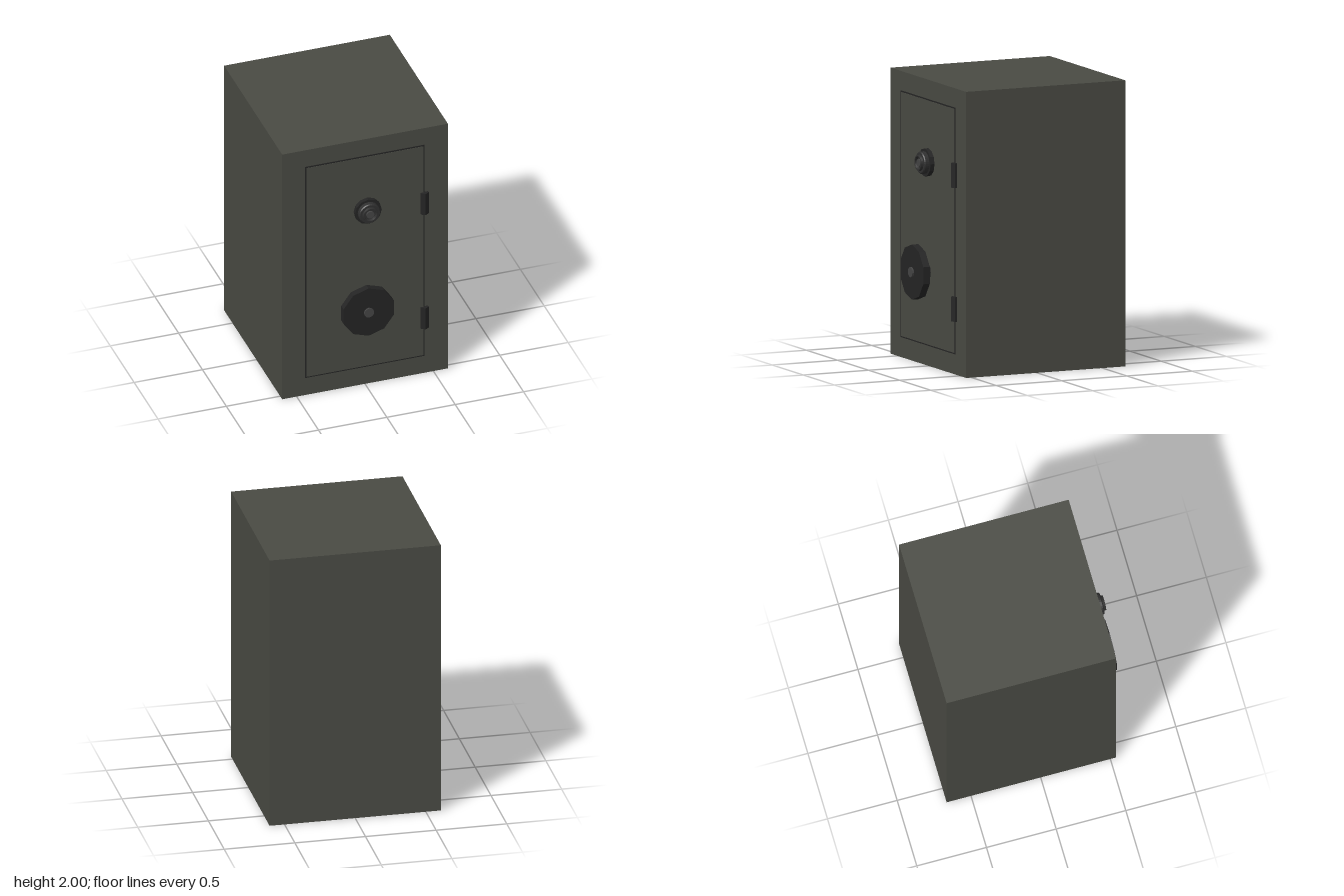
import * as THREE from 'three';

export function createModel() {
  const safe = new THREE.Group();
  safe.name = 'safe';

  const mat = (name, color) => {
    const m = new THREE.MeshStandardMaterial({ color, flatShading: true });
    m.name = name;
    return m;
  };
  const paint = mat('olive grey paint', 0x494a43);
  const black = mat('black metal', 0x242424);
  const grey = mat('grey metal', 0x444444);

  const add = (parent, name, geometry, material, x = 0, y = 0, z = 0) => {
    const mesh = new THREE.Mesh(geometry, material);
    mesh.name = name;
    mesh.position.set(x, y, z);
    parent.add(mesh);
    return mesh;
  };
  // Disc whose axis points forward, from z0 to z1, with a corner at the top
  const disc = (parent, name, r, z0, z1, sides, material) => {
    const g = new THREE.CylinderGeometry(r, r, z1 - z0, sides);
    g.rotateX(Math.PI / 2).rotateZ(Math.PI);
    return add(parent, name, g, material, 0, 0, (z0 + z1) / 2);
  };

  const front = 0.542;

  // Cabinet
  add(safe, 'cabinet', new THREE.BoxGeometry(1.212, 2, front + 0.675), paint, 0, 1, (front - 0.675) / 2);

  // Door panel with a thin dark seam around it
  const seam = new THREE.Shape();
  const rect = (path, w, h) => path.moveTo(-w, -h).lineTo(w, -h).lineTo(w, h).lineTo(-w, h).closePath();
  rect(seam, 0.436, 0.862);
  const opening = new THREE.Path();
  rect(opening, 0.427, 0.853);
  seam.holes.push(opening);
  add(safe, 'doorSeam', new THREE.ExtrudeGeometry(seam, { depth: 0.004, bevelEnabled: false }), black, -0.002, 1.003, front);
  add(safe, 'door', new THREE.BoxGeometry(0.854, 1.706, 0.012), paint, -0.002, 1.003, front);

  // Hinges: six-sided barrels half sunk in the front
  for (const y of [0.459, 1.394]) {
    add(safe, 'hinge', new THREE.CylinderGeometry(0.032, 0.032, 0.172, 6), black, 0.433, y, front);
  }

  // Combination dial: faceted base, stepped ring and hollow knob
  const dial = new THREE.Group();
  dial.name = 'dial';
  dial.position.set(0.012, 1.426, 0);
  safe.add(dial);
  disc(dial, 'dialBase', 0.098, front, 0.578, 12, black);
  const points = [[0.078, 0.578], [0.078, 0.606], [0.072, 0.613], [0.056, 0.613], [0.053, 0.63],
    [0.045, 0.63], [0.041, 0.612], [0, 0.612]].map(([r, z]) => new THREE.Vector2(r, z));
  const ring = new THREE.LatheGeometry(points, 32);
  ring.rotateX(Math.PI / 2);
  const ringMaterial = mat('dark steel', 0x303030);
  ringMaterial.side = THREE.DoubleSide;
  add(dial, 'dialRing', ring, ringMaterial);
  disc(dial, 'dialCentre', 0.028, 0.61, 0.626, 12, grey);

  // Handwheel on its shaft
  const wheel = new THREE.Group();
  wheel.name = 'handwheel';
  wheel.position.set(-0.015, 0.661, 0);
  safe.add(wheel);
  disc(wheel, 'shaft', 0.065, front, 0.62, 12, black);
  disc(wheel, 'wheel', 0.193, 0.612, 0.662, 10, black);
  disc(wheel, 'wheelPin', 0.036, 0.66, 0.675, 12, grey);

  return safe;
}
